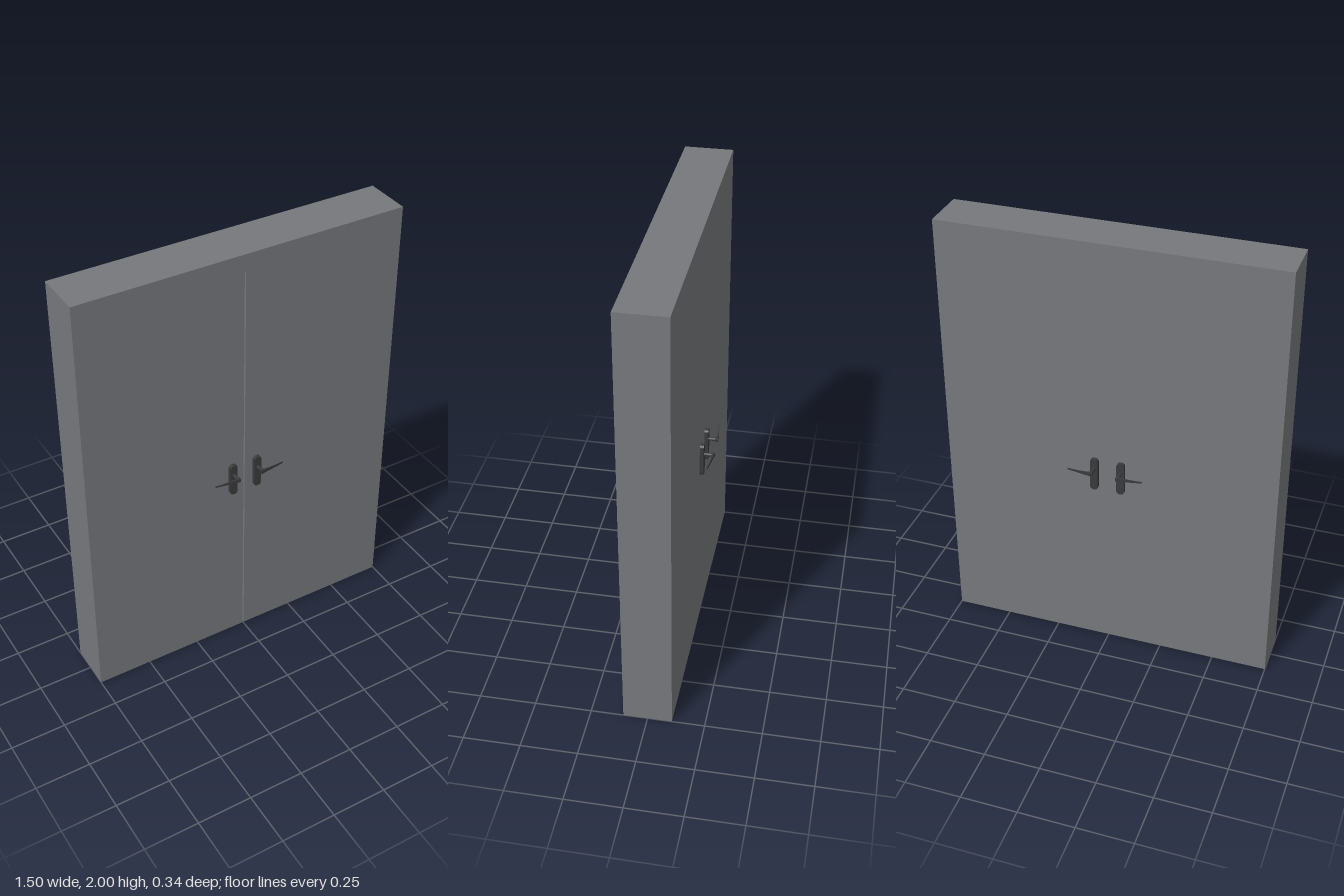
import * as THREE from 'three';

const HALF_DEPTH = 0.107;

// Rounded rectangle outline centred on the origin
function roundedRect(w, h, r) {
  const s = new THREE.Shape();
  s.absarc(w / 2 - r, h / 2 - r, r, 0, Math.PI / 2);
  s.absarc(-w / 2 + r, h / 2 - r, r, Math.PI / 2, Math.PI);
  s.absarc(-w / 2 + r, -h / 2 + r, r, Math.PI, 1.5 * Math.PI);
  s.absarc(w / 2 - r, -h / 2 + r, r, 1.5 * Math.PI, 2 * Math.PI);
  s.closePath();
  return s;
}

function createHandle(material) {
  const handle = new THREE.Group();
  const add = (name, geometry, x, y, z) => {
    const mesh = new THREE.Mesh(geometry, material);
    mesh.name = name;
    mesh.position.set(x, y, z);
    handle.add(mesh);
    return mesh;
  };

  // Backplate fixed to the door face
  const plate = new THREE.ExtrudeGeometry(roundedRect(0.035, 0.156, 0.014), {
    depth: 0.017, bevelEnabled: false, curveSegments: 6,
  });
  add('backplate', plate, 0.06, 0.908, HALF_DEPTH);

  // Spindle out to the lever
  const spindle = add('spindle', new THREE.CylinderGeometry(0.008, 0.008, 0.05, 16), 0.06, 0.935, 0.138);
  spindle.rotation.x = Math.PI / 2;

  // Lever: tapers to a thin tip that bends back towards the door
  const lever = new THREE.BoxGeometry(1, 1, 1, 10, 1, 1);
  const p = lever.attributes.position;
  for (let i = 0; i < p.count; i++) {
    const t = p.getX(i) + 0.5;
    const height = 0.017 - 0.010 * t;
    const thickness = 0.002 + 0.013 * (1 - t) ** 3;
    const outer = 0.169 - 0.015 * t;
    p.setXYZ(i, 0.053 + 0.116 * t, p.getY(i) * height, outer + (p.getZ(i) - 0.5) * thickness);
  }
  lever.computeVertexNormals();
  add('lever', lever, 0, 0.935, 0);
  return handle;
}

export function createModel() {
  const model = new THREE.Group();
  model.name = 'doubleDoor';
  const doorMaterial = new THREE.MeshStandardMaterial({ color: 0x77787c });
  const handleMaterial = new THREE.MeshStandardMaterial({ color: 0x3a3a3c });

  // Door slab with a narrow slit between the two leaves, below the top
  const gap = 0.003, gapTop = 1.92;
  const outline = new THREE.Shape([
    [-0.75, 0], [-gap, 0], [-gap, gapTop], [gap, gapTop], [gap, 0], [0.75, 0], [0.75, 2], [-0.75, 2],
  ].map(([x, y]) => new THREE.Vector2(x, y)));
  const slab = new THREE.Mesh(
    new THREE.ExtrudeGeometry(outline, { depth: 2 * HALF_DEPTH, bevelEnabled: false }), doorMaterial);
  slab.name = 'doorLeaves';
  slab.position.z = -HALF_DEPTH;
  model.add(slab);

  // Strip closing the slit on the back face
  const strip = new THREE.Mesh(new THREE.PlaneGeometry(2 * gap, gapTop), doorMaterial);
  strip.name = 'backStrip';
  strip.position.set(0, gapTop / 2, -HALF_DEPTH);
  strip.rotation.y = Math.PI;
  model.add(strip);

  // Mirrored handles on both leaves, front and back
  for (const side of [1, -1]) {
    for (const face of [1, -1]) {
      const handle = createHandle(handleMaterial);
      handle.name = (face > 0 ? 'front' : 'back') + (side > 0 ? 'Left' : 'Right') + 'Handle';
      handle.scale.set(side, 1, face);
      model.add(handle);
    }
  }
  return model;
}
